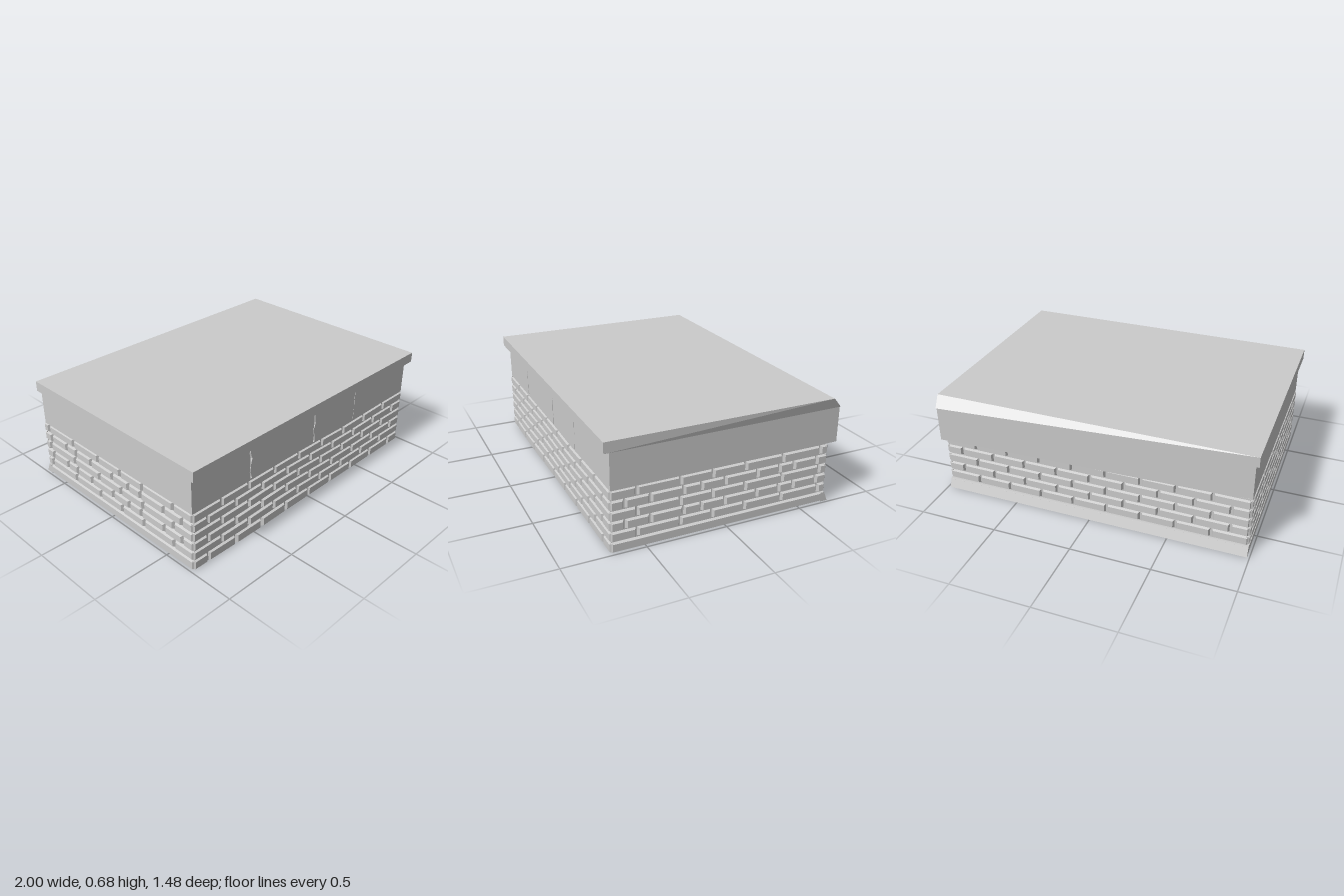
import * as THREE from 'three';
import { mergeGeometries } from 'three/addons/utils/BufferGeometryUtils.js';

const material = new THREE.MeshStandardMaterial({ color: 0xcccccc, flatShading: true });

// Box between two corners; an optional rule moves each vertex.
function block(x0, x1, y0, y1, z0, z1, rule) {
  const g = new THREE.BoxGeometry(x1 - x0, y1 - y0, z1 - z0);
  g.translate((x0 + x1) / 2, (y0 + y1) / 2, (z0 + z1) / 2);
  if (rule) {
    const p = g.attributes.position;
    const v = new THREE.Vector3();
    for (let i = 0; i < p.count; i++) {
      rule(v.fromBufferAttribute(p, i));
      p.setXYZ(i, v.x, v.y, v.z);
    }
    g.computeVertexNormals();
  }
  return g;
}

function named(name, geometry) {
  const mesh = new THREE.Mesh(geometry, material);
  mesh.name = name;
  return mesh;
}

const COURSES = 6, PITCH = 0.0632, BEVEL = 0.01, GAP = 0.004;

// Bevelled bricks along x, facing +z, with the outer face at z = face.
function brickWall(start, end, face, jointsOf, rule) {
  const bricks = [];
  for (let row = 0; row < COURSES; row++) {
    const ends = [start, ...jointsOf(row), end];
    const y0 = row * PITCH + (row ? 0.004 : 0), y1 = row * PITCH + 0.06;
    for (let i = 0; i < ends.length - 1; i++) {
      const a = ends[i] + (i ? GAP : 0);
      const b = ends[i + 1] - (i < ends.length - 2 ? GAP : 0);
      const cx = (a + b) / 2, cy = (y0 + y1) / 2;
      bricks.push(block(a, b, y0, y1, face - 0.03, face, v => {
        if (v.z > face - 0.01) {
          v.x -= Math.sign(v.x - cx) * BEVEL;
          v.y -= Math.sign(v.y - cy) * BEVEL * 0.7;
        } else {
          v.z = face - 0.018;
        }
        if (rule) rule(v);
      }));
    }
  }
  return mergeGeometries(bricks);
}

const longJoints = row => Array.from({ length: row % 2 ? 8 : 9 },
  (_, i) => (row % 2 ? -0.765 : -0.87) + i * 0.2175);
const shortJoints = row => row === 0 ? []
  : row % 2 ? [-0.55, -0.29, -0.09, 0.12, 0.37, 0.63]
    : [-0.62, -0.47, -0.27, -0.16, -0.01, 0.2, 0.35, 0.45, 0.61];

// Worn, uneven courses on the front.
function sag(v) {
  const hump = (c, w) => Math.exp(-(((v.x - c) / w) ** 2));
  const t = v.y / 0.38;
  v.y += 0.011 * hump(-0.25, 0.28) * Math.sin(Math.PI * t) - 0.009 * t * hump(0.35, 0.25);
  v.z += 0.006 * hump(-0.5, 0.3) * (1 - t);
}

// Jagged vertical sliver used as a crack in the front panel.
function crack(x, width, y0, y1) {
  const n = 5, left = [], right = [];
  for (let i = 0; i <= n; i++) {
    const t = i / n, y = y0 + (y1 - y0) * t;
    const c = x + Math.sin(i * 2.3 + x * 9) * width * 0.45;
    const w = width * (0.3 + 0.2 * Math.cos(i * 1.9));
    left.push(new THREE.Vector2(c - w, y));
    right.unshift(new THREE.Vector2(c + w, y));
  }
  return new THREE.Path([...left, ...right]);
}

export function createModel() {
  const model = new THREE.Group();
  model.name = 'brickPlatform';

  // Solid core behind the brick faces
  model.add(named('brickCore', block(-0.968, 0.968, 0, 0.385, -0.673, 0.698)));

  // Brick faces on all four sides
  const walls = new THREE.Group();
  walls.name = 'brickWalls';
  walls.add(named('frontBricks', brickWall(-0.98, 0.98, 0.71, longJoints, sag)));
  const back = named('backBricks', brickWall(-0.98, 0.98, 0.688, longJoints));
  back.rotation.y = Math.PI;
  walls.add(back);
  const left = named('leftBricks', brickWall(-0.705, 0.685, 0.985, shortJoints));
  left.rotation.y = Math.PI / 2;
  walls.add(left);
  const rightGeometry = brickWall(-0.685, 0.705, 0.985,
    row => shortJoints(row).map(j => -j).reverse());
  const right = named('rightBricks', rightGeometry);
  right.rotation.y = -Math.PI / 2;
  walls.add(right);
  model.add(walls);

  // Sloping ledge along the back of the lowest course
  model.add(named('backLedge', block(-0.985, 0.985, 0, 0.06, -0.71, -0.66, v => {
    if (v.z < -0.7 && v.y > 0.03) v.z = -0.685;
  })));

  // Upper band, pushed out at its back left corner
  model.add(named('upperBand', block(-0.98, 0.98, 0.378, 0.612, -0.67, 0.685, v => {
    if (v.z < 0 && v.x > 0) {
      v.z = -0.742;
      if (v.y < 0.5) v.y = 0.386;
    }
  })));

  // Cracked front panel of the band
  const panel = new THREE.Shape([[-0.98, 0.378], [0.98, 0.378], [0.98, 0.612], [-0.98, 0.612]]
    .map(([x, y]) => new THREE.Vector2(x, y)));
  panel.holes.push(crack(-0.53, 0.015, 0.39, 0.607), crack(0.03, 0.013, 0.385, 0.607),
    crack(0.43, 0.005, 0.385, 0.595));
  const panelGeometry = new THREE.ExtrudeGeometry(panel, { depth: 0.018, bevelEnabled: false });
  panelGeometry.translate(0, 0, 0.684);
  model.add(named('crackedPanel', panelGeometry));

  // Cap slab, its lower back edge drawn out over the bulge
  model.add(named('capSlab', block(-1, 1, 0.61, 0.675, -0.685, 0.74, v => {
    if (v.z < 0 && v.x > 0 && v.y < 0.64) v.set(0.985, 0.61, -0.745);
  })));

  return model;
}
